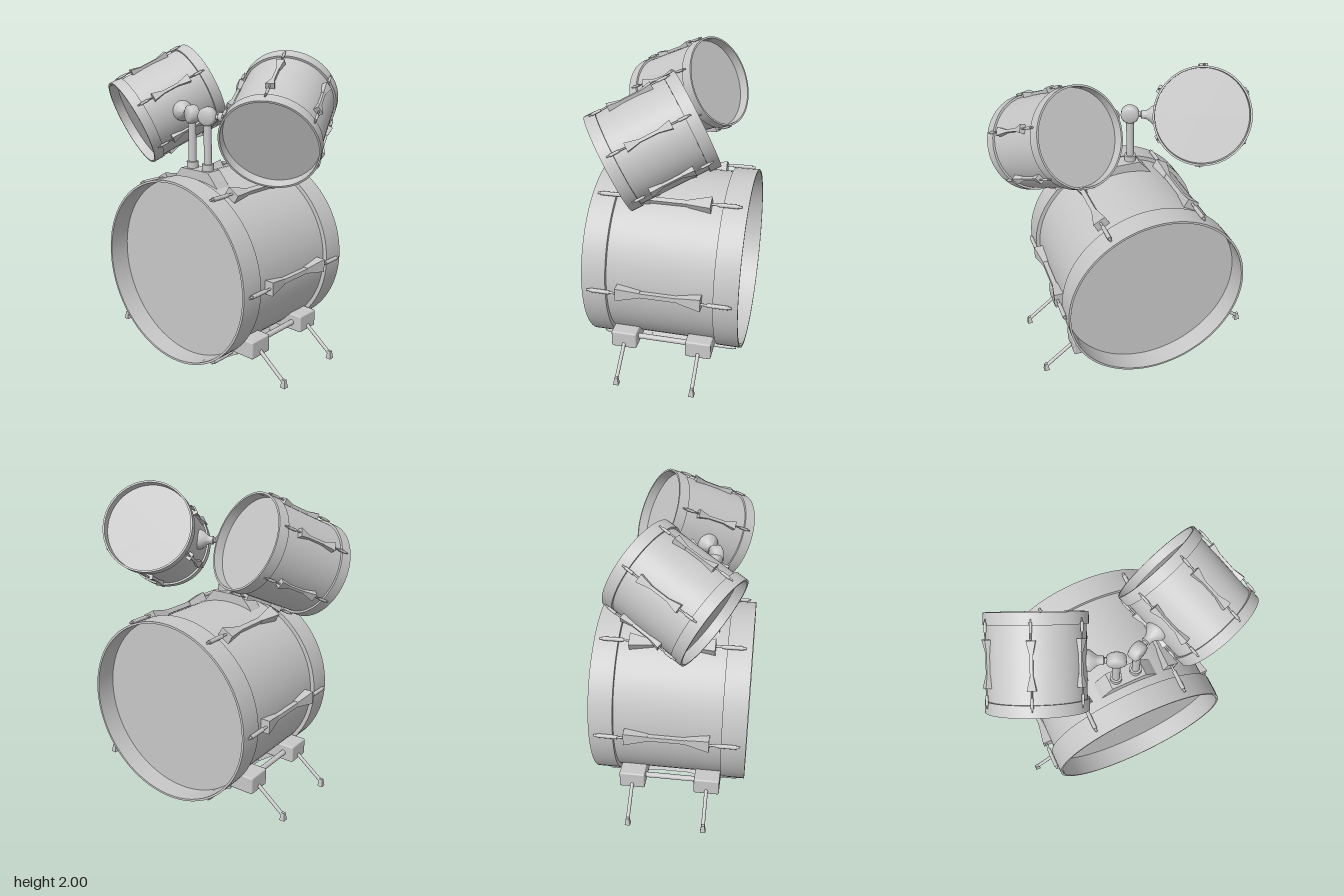
import * as THREE from 'three';
import { toCreasedNormals } from 'three/addons/utils/BufferGeometryUtils.js';
import { RoundedBoxGeometry } from 'three/addons/geometries/RoundedBoxGeometry.js';

const grey = new THREE.MeshStandardMaterial({ color: 0xc8c8c8 });
grey.name = 'light grey';

function add(parent, name, geometry, x = 0, y = 0, z = 0) {
  const mesh = new THREE.Mesh(geometry, grey);
  mesh.name = name;
  mesh.position.set(x, y, z);
  parent.add(mesh);
  return mesh;
}

// Cylinder between two points
function rod(parent, name, a, b, radius, sides = 20) {
  const dir = b.clone().sub(a);
  const mesh = add(parent, name, new THREE.CylinderGeometry(radius, radius, dir.length(), sides));
  mesh.position.copy(a).add(b).multiplyScalar(0.5);
  mesh.quaternion.setFromUnitVectors(new THREE.Vector3(0, 1, 0), dir.normalize());
  return mesh;
}

function lathe(points, sides = 64) {
  const profile = points.map(([x, y]) => new THREE.Vector2(x, y));
  return toCreasedNormals(new THREE.LatheGeometry(profile, sides), 0.6);
}

// Lug casing: wide and tall at the outer end, tapering towards the middle of the drum
function casingGeometry(thick, length, width) {
  const geo = new THREE.BoxGeometry(thick, length, width);
  const p = geo.attributes.position;
  for (let i = 0; i < p.count; i++) {
    if (p.getY(i) < 0) {
      p.setZ(i, p.getZ(i) * 0.4);
      if (p.getX(i) > 0) p.setX(i, thick * 0.1);
    }
  }
  geo.computeVertexNormals();
  return geo;
}

// Drum along local y: shell, two hoops, two deeply recessed heads and six lugs
function drum(name, o) {
  const g = new THREE.Group();
  g.name = name;
  const half = o.length / 2, inner = o.radius - o.rim;
  add(g, 'shell', new THREE.CylinderGeometry(o.shell, o.shell, o.length - 2 * o.recess, 72, 1, true));
  for (const end of [1, -1]) {
    const side = new THREE.Group();
    side.name = end > 0 ? 'upperEnd' : 'lowerEnd';
    if (end < 0) side.rotation.x = Math.PI;
    g.add(side);
    add(side, 'hoop', lathe([
      [o.shell - 0.01, half - o.hoop], [o.radius, half - o.hoop], [o.radius, half],
      [inner, half], [inner, half - o.recess],
    ], 72));
    const head = add(side, 'head', new THREE.CircleGeometry(inner + 0.003, 72), 0, half - o.recess, 0);
    head.rotation.x = -Math.PI / 2;
  }
  for (let k = 0; k < 6; k++) {
    const lug = new THREE.Group();
    lug.name = 'lug';
    lug.rotation.y = o.phase + k * Math.PI / 3;
    g.add(lug);
    const t = o.lugThick, r = o.shell + t / 2 - 0.003;
    add(lug, 'lugBar', new THREE.BoxGeometry(t * 0.5, o.lugIn * 2 + 0.02, o.lugWidth * 0.35), r - t * 0.15, 0, 0);
    for (const end of [1, -1]) {
      const casing = add(lug, 'lugCasing', casingGeometry(t, o.lugOut - o.lugIn, o.lugWidth),
        r, end * (o.lugIn + o.lugOut) / 2, 0);
      if (end < 0) casing.rotation.x = Math.PI;
      const rx = o.radius + o.rodRadius;
      const at = (y) => new THREE.Vector3(rx, end * y, 0);
      rod(lug, 'tensionRod', at(o.lugOut - 0.01), at(o.rodEnd), o.rodRadius * 0.7, 10);
      rod(lug, 'rodSleeve', at(o.rodEnd - o.sleeve), at(o.rodEnd - 0.02), o.rodRadius * 1.2, 10);
    }
  }
  return g;
}

export function createModel() {
  const model = new THREE.Group();
  model.name = 'drumSet';

  // Bass drum lying along z
  const bass = drum('bassDrum', {
    radius: 0.603, shell: 0.576, length: 0.995, hoop: 0.155, rim: 0.014, recess: 0.135, phase: 0,
    lugThick: 0.062, lugIn: 0.12, lugOut: 0.27, lugWidth: 0.088, rodRadius: 0.011, rodEnd: 0.46, sleeve: 0.15,
  });
  bass.position.y = 0.625;
  bass.rotation.x = Math.PI / 2;
  model.add(bass);

  // Tom mount plate on top of the bass drum
  const plate = new THREE.Shape([[-0.2, 1.16], [0.2, 1.16], [0.165, 1.205], [0.115, 1.26], [-0.115, 1.26], [-0.165, 1.205]]
    .map(([x, y]) => new THREE.Vector2(x, y)));
  add(model, 'mountPlate', new THREE.ExtrudeGeometry(plate, { depth: 0.11, bevelEnabled: false }), 0, 0, 0.172);

  for (const s of [1, -1]) {
    const side = s > 0 ? 'left' : 'right';

    // Tilted tom: local y is the drum axis, local x points to the mount
    const tom = drum(side + 'Tom', {
      radius: 0.301, shell: 0.288, length: 0.568, hoop: 0.07, rim: 0.012, recess: 0.062, phase: Math.PI / 6,
      lugThick: 0.036, lugIn: 0.06, lugOut: 0.135, lugWidth: 0.052, rodRadius: 0.007, rodEnd: 0.25, sleeve: 0.075,
    });
    const yAxis = new THREE.Vector3(-0.37 * s, 0.415, -0.83).normalize();
    const xAxis = new THREE.Vector3(-0.913 * s, 0, 0.407).normalize();
    const zAxis = new THREE.Vector3().crossVectors(xAxis, yAxis).normalize();
    xAxis.crossVectors(yAxis, zAxis);
    tom.quaternion.setFromRotationMatrix(new THREE.Matrix4().makeBasis(xAxis, yAxis, zAxis));
    tom.position.set(0.485 * s, 1.609, 0.045);
    model.add(tom);

    // Post with collar and a thick rounded swivel disc
    const px = 0.067 * s, pz = 0.228;
    add(model, side + 'Collar', new THREE.CylinderGeometry(0.038, 0.038, 0.045, 28), px, 1.278, pz);
    add(model, side + 'Post', new THREE.CylinderGeometry(0.025, 0.025, 0.3, 28), px, 1.42, pz);
    const joint = add(model, side + 'Joint', lathe([
      [0, -0.037], [0.042, -0.037], [0.053, -0.031], [0.059, -0.02],
      [0.059, 0.02], [0.053, 0.031], [0.042, 0.037], [0, 0.037],
    ], 32), px, 1.6, pz);
    joint.rotation.set(Math.PI / 2, Math.atan2(0.407 * s, 0.913), 0, 'YXZ');

    // Arm from the joint to a flared flange on the tom shell
    const arm = new THREE.Group();
    arm.name = side + 'Arm';
    arm.position.set(px, 1.6, pz);
    arm.quaternion.setFromUnitVectors(new THREE.Vector3(0, 1, 0), xAxis.clone().negate());
    model.add(arm);
    add(arm, 'armAndFlange', lathe([
      [0.018, 0], [0.018, 0.07], [0.028, 0.075], [0.028, 0.105], [0.036, 0.118],
      [0.063, 0.15], [0.066, 0.16], [0.066, 0.19], [0, 0.19],
    ], 32));

    // Spur brackets, their connecting bar and the legs, set slightly towards -x
    const spurs = new THREE.Group();
    spurs.name = side + 'Spurs';
    spurs.position.x = -0.008;
    model.add(spurs);
    rod(spurs, 'bracketBar', new THREE.Vector3(0.475 * s, 0.207, -0.2),
      new THREE.Vector3(0.475 * s, 0.207, 0.2), 0.018);
    for (const z of [0.255, -0.242]) {
      add(spurs, 'bracket', new RoundedBoxGeometry(0.21, 0.115, 0.168, 2, 0.01), 0.443 * s, 0.208, z);
      rod(spurs, 'leg', new THREE.Vector3(0.52 * s, 0.197, z), new THREE.Vector3(0.728 * s, 0.035, z), 0.012);
      const foot = add(spurs, 'foot', toCreasedNormals(new THREE.CylinderGeometry(0.014, 0.025, 0.052, 4), 0.5),
        0.732 * s, 0.026, z);
      foot.rotation.y = Math.PI / 4;
    }
  }
  return model;
}
